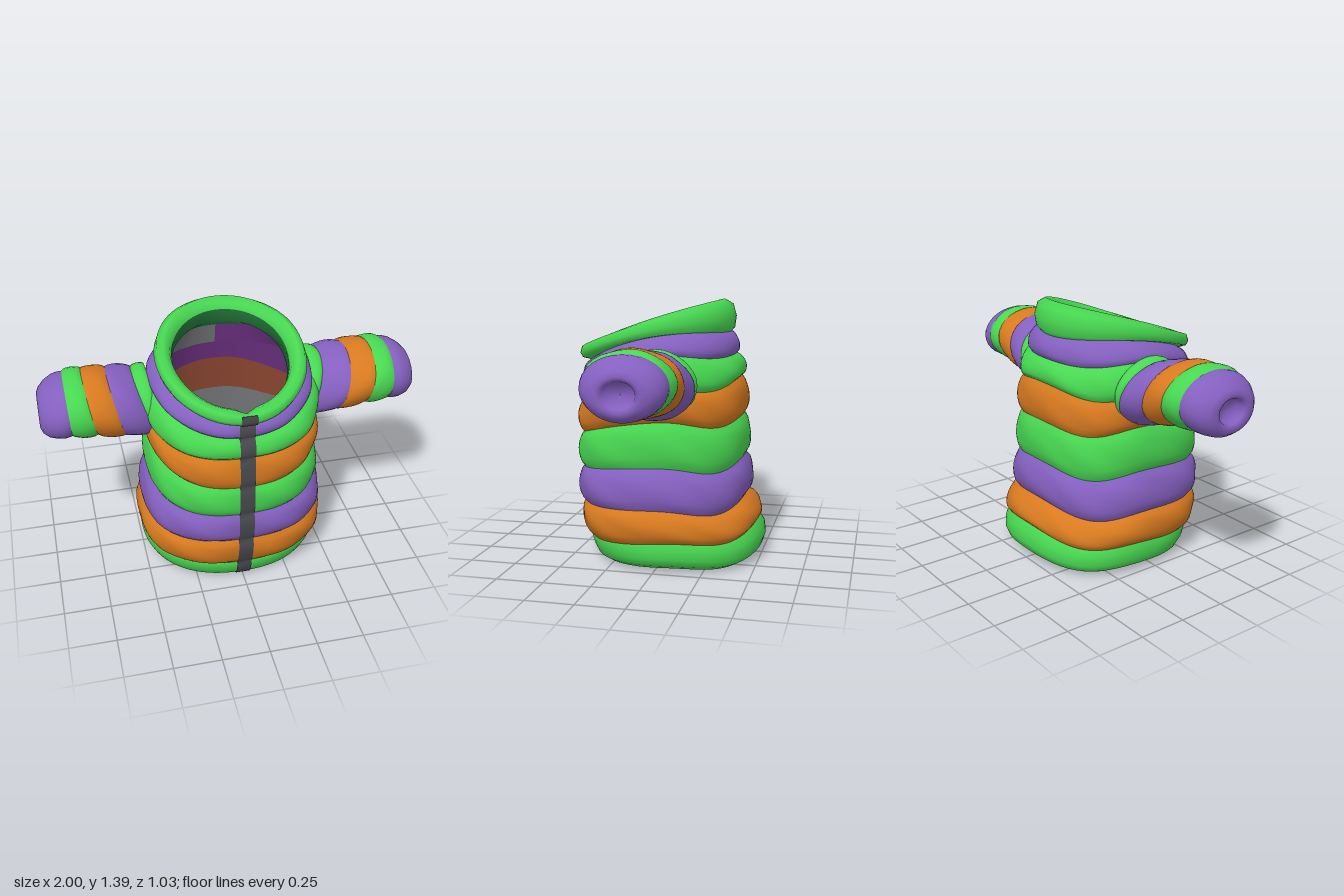
import * as THREE from 'three';

const mat = (name, color) => {
  const m = new THREE.MeshStandardMaterial({ color });
  m.name = name;
  return m;
};

// Skin a list of closed rings (arrays of Vector3); flip reverses the facing
function loft(rings, flip = false) {
  const n = rings[0].length, pos = [], idx = [];
  rings.forEach(r => r.forEach(p => pos.push(p.x, p.y, p.z)));
  for (let i = 0; i < rings.length - 1; i++) {
    for (let j = 0; j < n; j++) {
      const a = i * n + j, b = i * n + (j + 1) % n, c = b + n, d = a + n;
      if (flip) idx.push(a, c, b, a, d, c);
      else idx.push(a, b, c, a, c, d);
    }
  }
  const g = new THREE.BufferGeometry();
  g.setAttribute('position', new THREE.Float32BufferAttribute(pos, 3));
  g.setIndex(idx);
  g.computeVertexNormals();
  return g;
}

const mix = (a, b, t) => a.map((v, i) => v + (b[i] - v) * t);
const power = (v, e) => Math.sign(v) * Math.pow(Math.abs(v), e);

// Body row: [half width, front z, back z, front y, back y, side lift, roundness]
function bodyPoint([w, zf, zb, yf, yb, lift, round], a, puff = 0, dip = 0) {
  const c = power(Math.cos(a), round), s = power(Math.sin(a), round);
  const off = Math.atan2(Math.sin(a), Math.cos(a)) / 0.11;
  const pinch = Math.exp(-off * off);               // padding sinks in at the zip
  const sag = c < 0 ? 0.2 * (1 - round) * Math.sin(2 * a) ** 2 : 0; // rear corners hang lower
  const r = puff * (1 - 0.4 * pinch) * (1 + 0.12 * Math.sin(9 * a + yf * 30));
  return new THREE.Vector3(
    (w + r) * s,
    (yf + yb) / 2 + (yf - yb) / 2 * c + lift * Math.sin(a) ** 2 - dip * pinch - sag,
    (zf + zb) / 2 + ((zf - zb) / 2 + r) * c);
}

const SEG = 72;
const bodyRing = (row, puff, dip) =>
  Array.from({ length: SEG }, (_, j) => bodyPoint(row, j / SEG * Math.PI * 2, puff, dip));

// Flat strip up the centre front; rows are [body row, puff]
function frontStrip(rows, halfWidth, offset) {
  const pos = [], idx = [];
  rows.forEach(([row, puff], i) => {
    const p = bodyPoint(row, 0, puff);
    pos.push(-halfWidth, p.y, p.z + offset, halfWidth, p.y, p.z + offset);
    const a = i * 2;
    if (i) idx.push(a - 2, a - 1, a + 1, a - 2, a + 1, a);
  });
  const g = new THREE.BufferGeometry();
  g.setAttribute('position', new THREE.Float32BufferAttribute(pos, 3));
  g.setIndex(idx);
  g.computeVertexNormals();
  return g;
}

// Rounded padding profile between two seams
const STEPS = 8;
const swell = t => Math.pow(Math.max(0, Math.sin(Math.PI * t)), 0.6);

export function createModel() {
  const group = new THREE.Group();
  const green = mat('green padding', 0x48d852);
  const purple = mat('purple padding', 0x8560c0);
  const orange = mat('orange padding', 0xd87a20);
  const zipGrey = mat('zip grey', 0x48494d);
  const rust = mat('rust lining', 0x8a4530);
  const plum = mat('plum lining', 0x6f3284);
  const grey = mat('grey lining', 0x747577);
  const darkGreen = mat('dark green lining', 0x237a3c);
  zipGrey.side = grey.side = THREE.DoubleSide;

  const add = (name, geometry, material) => {
    const m = new THREE.Mesh(geometry, material);
    m.name = name;
    group.add(m);
  };

  // Seams of the body from hem to neck
  const seams = [
    [0.485, 0.43, -0.475, 0.12, 0.20, 0, 0.82],
    [0.475, 0.465, -0.41, 0.31, 0.34, 0.005, 0.8],
    [0.445, 0.475, -0.395, 0.49, 0.55, 0.025, 0.79],
    [0.43, 0.48, -0.385, 0.67, 0.775, 0.055, 0.79],
    [0.44, 0.475, -0.37, 0.85, 0.98, 0.02, 0.81],
    [0.42, 0.46, -0.34, 0.965, 1.10, 0.08, 0.9],
    [0.365, 0.45, -0.315, 1.055, 1.22, 0.065, 1],
  ];
  const colours = [orange, purple, green, orange, green, purple];
  const linings = [rust, plum, grey, rust, plum, plum];
  const puffs = [0.036, 0.034, 0.028, 0.028, 0.033, 0.028];
  const inset = ([w, f, b, ...rest]) => [w - 0.04, f - 0.04, b + 0.04, ...rest];

  // Padded bands, each with a smooth lining behind it
  colours.forEach((c, i) => {
    const rings = [];
    for (let k = 0; k <= STEPS; k++) {
      const t = k / STEPS;
      rings.push(bodyRing(mix(seams[i], seams[i + 1], t), puffs[i] * swell(t)));
    }
    add('bodyBand', loft(rings), c);
    const lining = loft([bodyRing(inset(seams[i])), bodyRing(inset(seams[i + 1]))], true);
    // The neck lining is plum on the left half and grey on the right
    lining.addGroup(0, SEG * 3, 0);
    lining.addGroup(SEG * 3, SEG * 3, 1);
    add('bodyLining', lining, [linings[i], i === 5 ? grey : linings[i]]);
  });

  // Hem rolls from the inside to the first seam
  const hem = [
    [0.445, 0.385, -0.435, 0.12, 0.20, 0, 0.82],
    [0.41, 0.34, -0.42, 0.06, 0.10, 0, 0.88],
    [0.42, 0.35, -0.435, 0.015, 0.05, 0, 0.88],
    [0.445, 0.38, -0.465, 0.005, 0.04, 0, 0.88],
    [0.478, 0.408, -0.50, 0.025, 0.06, 0, 0.88],
    [0.495, 0.425, -0.512, 0.065, 0.10, 0, 0.86],
    [0.495, 0.435, -0.505, 0.10, 0.16, 0, 0.84],
    seams[0],
  ];
  add('hem', loft(hem.map(r => bodyRing(r))), green);

  // Collar rises from the neck seam and rolls over to a darker inside
  const collar = [
    seams[6],
    [0.382, 0.50, -0.332, 1.065, 1.24, 0.05, 1],
    [0.392, 0.515, -0.34, 1.09, 1.30, 0.04, 1],
    [0.378, 0.505, -0.322, 1.125, 1.365, 0.03, 1],
    [0.345, 0.465, -0.275, 1.135, 1.392, 0.02, 1],
    [0.312, 0.425, -0.238, 1.115, 1.37, 0.015, 1],
    [0.302, 0.405, -0.225, 1.085, 1.335, 0.01, 1],
  ];
  const dips = [0, 0, 0, 0.01, 0.025, 0.03, 0.03];
  add('collar', loft(collar.map((r, i) => bodyRing(r, 0, dips[i]))), green);
  add('collarLining', loft([
    bodyRing(collar[6], 0, dips[6]),
    bodyRing([0.302, 0.36, -0.235, 1.02, 1.26, 0.01, 1]),
    bodyRing(inset(seams[6])),
  ]), darkGreen);

  // Zip follows the front of hem, bands and collar, with a grey facing inside
  const zipRows = hem.slice(3, 7).map(r => [r, 0]);
  colours.forEach((c, i) => {
    for (let k = 0; k < STEPS; k++) {
      const t = k / STEPS;
      zipRows.push([mix(seams[i], seams[i + 1], t), puffs[i] * swell(t)]);
    }
  });
  collar.slice(0, 4).forEach(r => zipRows.push([r, 0]));
  add('zip', frontStrip(zipRows, 0.04, 0.006), zipGrey);
  add('zipFacing', frontStrip(seams.slice(0, 6).map(r => [inset(r), 0]), 0.08, -0.018), grey);

  // Sleeve row: [x, centre y, half height, centre z, half depth, slant]
  const sleeveRing = ([x, cy, ry, cz, rz, slant], side, puff = 0) =>
    Array.from({ length: 32 }, (_, j) => {
      const a = j / 32 * Math.PI * 2;
      const r = puff * (1 + 0.25 * Math.sin(5 * a + x * 20));
      return new THREE.Vector3(side * (x + slant * Math.cos(a)),
        cy + (ry + r) * Math.cos(a), cz + (rz + r) * Math.sin(a));
    });
  const sleeveSeams = [
    [0.40, 0.985, 0.165, -0.01, 0.19, 0.03],
    [0.45, 0.97, 0.17, -0.01, 0.20, 0.055],
    [0.60, 1.0, 0.17, 0.025, 0.215, 0.04],
    [0.735, 1.025, 0.157, 0.035, 0.222, 0.03],
    [0.85, 1.025, 0.15, 0.035, 0.212, 0.01],
  ];
  // Cuff droops a little and closes with a shallow hollow
  const cuff = [
    sleeveSeams[4],
    [0.88, 1.02, 0.155, 0.035, 0.213, 0.005],
    [0.915, 1.015, 0.15, 0.033, 0.205, 0],
    [0.955, 1.005, 0.135, 0.03, 0.18, 0],
    [0.985, 1.0, 0.11, 0.03, 0.145, 0],
    [0.998, 1.0, 0.085, 0.03, 0.105, 0],
    [0.985, 1.0, 0.065, 0.03, 0.08, 0],
    [0.95, 1.0, 0.055, 0.03, 0.065, 0],
    [0.945, 1.0, 0.001, 0.03, 0.001, 0],
  ];
  for (const side of [1, -1]) {
    const label = side > 0 ? 'left' : 'right';
    [green, purple, orange, green].forEach((c, i) => {
      const rings = [];
      for (let k = 0; k <= STEPS; k++) {
        const t = k / STEPS;
        rings.push(sleeveRing(mix(sleeveSeams[i], sleeveSeams[i + 1], t), side, 0.012 * swell(t)));
      }
      add(label + (i ? 'SleeveBand' : 'Shoulder'), loft(rings, side < 0), c);
    });
    add(label + 'Cuff', loft(cuff.map(r => sleeveRing(r, side)), side < 0), purple);
  }
  return group;
}
